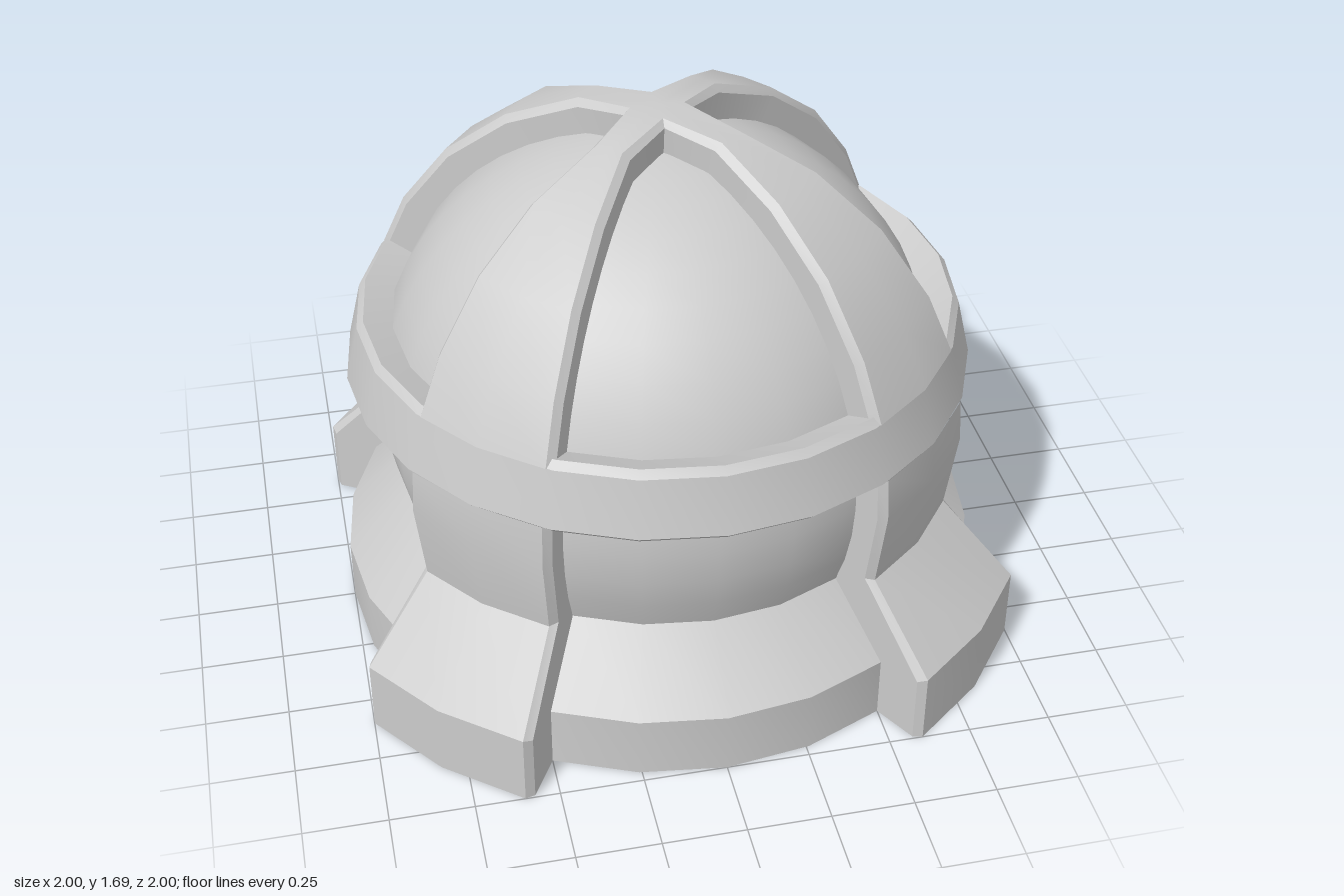
import * as THREE from 'three';
import { mergeGeometries, toCreasedNormals } from 'three/addons/utils/BufferGeometryUtils.js';

const CY = 0.72;      // centre height of the spherical shell
const R = 0.967;      // outer shell radius
const R_IN = 0.86;    // inner dome radius
const BEVEL = 0.022;
const EDGE = 0.978;   // shell scale at the lower edge of the bevel
const DEEP = 0.87;    // shell scale where the walls sink into the inner dome
const rad = THREE.MathUtils.degToRad;

const polar = (r, y, deg) => new THREE.Vector3(r * Math.sin(rad(deg)), y, r * Math.cos(rad(deg)));
const onSphere = (radius, deg) => [radius * Math.sin(rad(deg)), CY + radius * Math.cos(rad(deg))];

// Surface through rows of points (rows run down, columns run to the right)
function grid(rows) {
  const pos = [];
  const tri = (...p) => {
    if (new THREE.Triangle(...p).getArea() > 1e-9) p.forEach(v => pos.push(v.x, v.y, v.z));
  };
  for (let i = 0; i < rows.length - 1; i++) {
    for (let j = 0; j < rows[i].length - 1; j++) {
      const a = rows[i][j], b = rows[i][j + 1], c = rows[i + 1][j + 1], d = rows[i + 1][j];
      tri(a, d, c);
      tri(a, c, b);
    }
  }
  const geo = new THREE.BufferGeometry();
  geo.setAttribute('position', new THREE.Float32BufferAttribute(pos, 3));
  return geo;
}

// Bevelled cross-section of a rib or leg, spanning 30 to 60 degrees
function section([out, edge, inner]) {
  const b = THREE.MathUtils.radToDeg(BEVEL / out[0]);
  return [
    polar(...inner, 30), polar(...edge, 30), polar(...out, 30 + b), polar(...out, 45),
    polar(...out, 60 - b), polar(...edge, 60), polar(...inner, 60),
  ];
}
const shellStation = deg => [onSphere(R, deg), onSphere(R * EDGE, deg), onSphere(R * DEEP, deg)];

const RING_TOP = 71.3, RING_BOTTOM = 82;

function ribGeometry() {
  return grid([15, 30, 45, 60, RING_TOP].map(d => section(shellStation(d))));
}

function legGeometry() {
  const stations = [RING_BOTTOM, 90, 105].map(shellStation);
  stations.push(
    [[1.167, 0.23], [1.145, 0.222], [0.78, 0.2]],
    [[1.167, 0], [1.145, 0], [0.78, 0]],
    [[0.95, 0], [0.95, 0], [0.78, 0]],
  );
  return grid(stations.map(section));
}

// Star-shaped crown joining the four ribs, with bevelled walls at the window tips
function crownGeometries() {
  const [r, y] = onSphere(R, 15);
  const b = THREE.MathUtils.radToDeg(BEVEL / r);
  const ring = [], parts = [];
  for (let q = 0; q < 360; q += 90) {
    ring.push(polar(r, y, q + 30 + b), polar(r, y, q + 45), polar(r, y, q + 60 - b), polar(0.08, 1.682, q + 90));
    const [, edge, inner] = shellStation(15);
    parts.push(grid([
      [polar(r, y, q + 60 - b), polar(0.08, 1.682, q + 90), polar(r, y, q + 120 + b)],
      [polar(...edge, q + 60), polar(0.1, 1.66, q + 90), polar(...edge, q + 120)],
      [polar(...inner, q + 60), polar(0.087, 1.55, q + 90), polar(...inner, q + 120)],
    ]));
  }
  ring.push(ring[0]);
  const apex = new THREE.Vector3(0, CY + R, 0);
  parts.push(grid([ring.map(() => apex), ring]));
  return parts;
}

function lathe(points) {
  const geo = new THREE.LatheGeometry(points.map(p => new THREE.Vector2(...p)), 24);
  geo.deleteAttribute('normal');
  geo.deleteAttribute('uv');
  return geo.toNonIndexed();
}

export function createModel() {
  const group = new THREE.Group();
  const material = new THREE.MeshStandardMaterial({ color: 0xcccccc });
  const add = (name, geo) => {
    const mesh = new THREE.Mesh(toCreasedNormals(geo, 0.5), material);
    mesh.name = name;
    group.add(mesh);
    return mesh;
  };

  // Flared base
  add('base', lathe([[0, 0], [1, 0], [1, 0.2], [0.79, 0.41]]));

  // Inner dome
  const dome = [];
  for (let i = 0; i <= 16; i++) {
    const [r, y] = onSphere(R_IN, 112 * (1 - i / 16));
    dome.push([Math.max(r, 0), y]);
  }
  add('innerDome', lathe(dome));

  // Belt around the middle, bevelled at both lips
  add('belt', lathe([
    [0.83, 0.8], [0.935, 0.832], onSphere(R, RING_BOTTOM),
    onSphere(R, RING_TOP), [0.895, 1.052], [0.795, 1.01],
  ]));

  // Four ribs meeting in the crown
  const ribs = [0, 1, 2, 3].map(i => ribGeometry().rotateY(i * Math.PI / 2));
  add('domeRibs', mergeGeometries([...ribs, ...crownGeometries()]));

  // Four legs flaring out over the base
  for (let i = 0; i < 4; i++) add('leg' + (i + 1), legGeometry()).rotation.y = i * Math.PI / 2;

  return group;
}
